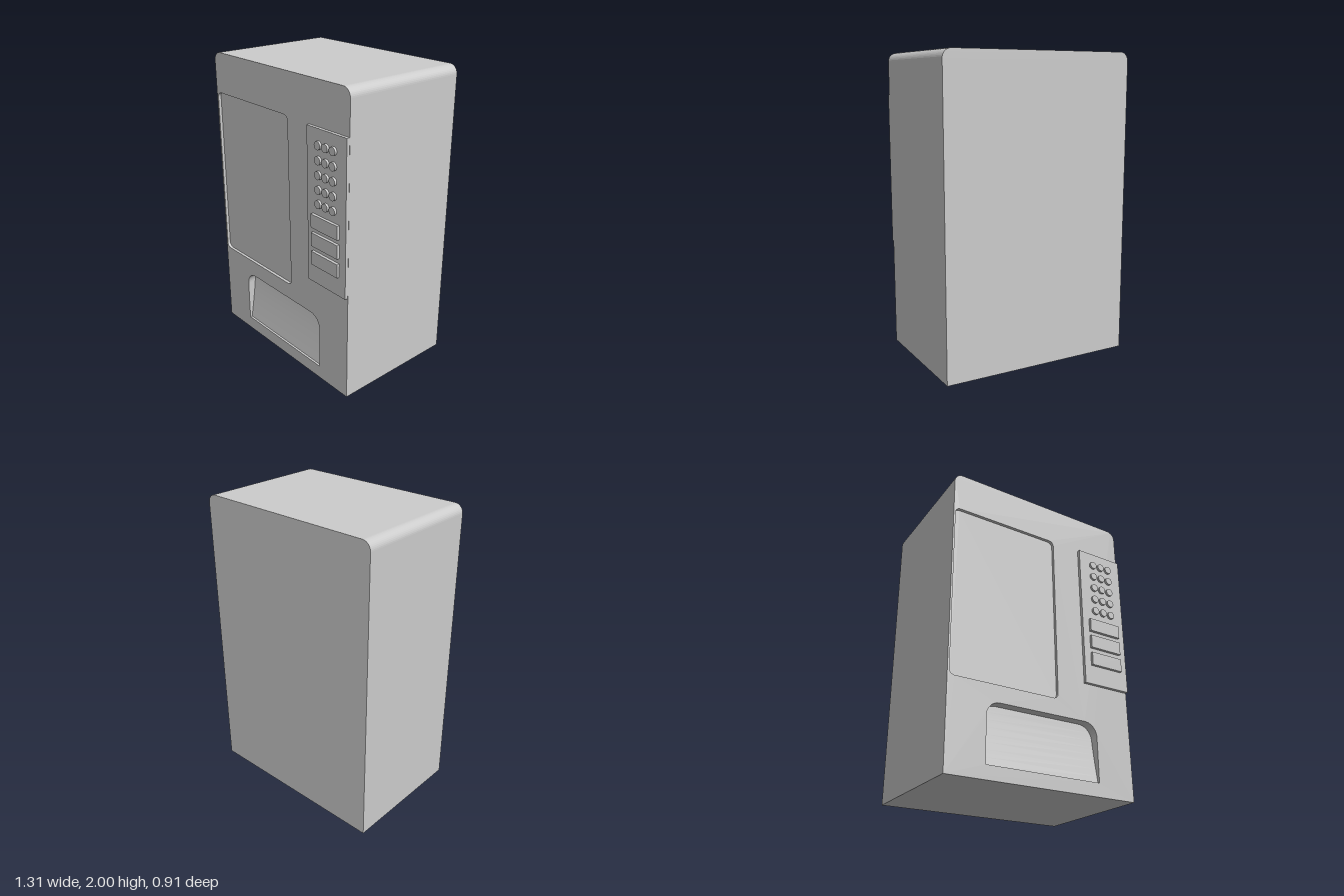
import * as THREE from 'three';

const grey = new THREE.MeshStandardMaterial({ color: 0xcccccc });
const greyDouble = new THREE.MeshStandardMaterial({ color: 0xcccccc, side: THREE.DoubleSide });

const FRONT = 0.415, BACK = -0.455, SLAB = 0.08;

// Rectangle with separate radii for the top and bottom corners
function outline(Type, x0, y0, x1, y1, top, bottom = 0) {
  const p = new Type();
  p.moveTo(x0 + bottom, y0);
  p.lineTo(x1 - bottom, y0);
  if (bottom) p.absarc(x1 - bottom, y0 + bottom, bottom, -Math.PI / 2, 0);
  p.lineTo(x1, y1 - top);
  p.absarc(x1 - top, y1 - top, top, 0, Math.PI / 2);
  p.lineTo(x0 + top, y1);
  p.absarc(x0 + top, y1 - top, top, Math.PI / 2, Math.PI);
  p.lineTo(x0, y0 + bottom);
  if (bottom) p.absarc(x0 + bottom, y0 + bottom, bottom, Math.PI, Math.PI * 1.5);
  return p;
}

function add(parent, name, geometry, x = 0, y = 0, z = 0, material = grey) {
  const mesh = new THREE.Mesh(geometry, material);
  mesh.name = name;
  mesh.position.set(x, y, z);
  parent.add(mesh);
  return mesh;
}

const extrude = (shape, depth) =>
  new THREE.ExtrudeGeometry(shape, { depth, bevelEnabled: false, curveSegments: 5 });

// Box given by its front rectangle and z range
function block(parent, name, x0, x1, y0, y1, z0, z1) {
  add(parent, name, new THREE.BoxGeometry(x1 - x0, y1 - y0, z1 - z0),
    (x0 + x1) / 2, (y0 + y1) / 2, (z0 + z1) / 2);
}

export function createModel() {
  const model = new THREE.Group();
  model.name = 'vendingMachine';

  // Cabinet behind the front plate
  const body = () => outline(THREE.Shape, -0.655, 0, 0.655, 2, 0.058);
  add(model, 'cabinet', extrude(body(), FRONT - SLAB - BACK), 0, 0, BACK);

  // Front plate with openings for the window and the tray
  const plate = body();
  plate.holes.push(
    outline(THREE.Path, -0.642, 0.577, 0.107, 1.732, 0.035, 0.035),
    outline(THREE.Path, -0.397, 0.088, 0.392, 0.466, 0.09));
  add(model, 'frontPlate', extrude(plate, SLAB), 0, 0, FRONT - SLAB);

  // Display window, set slightly back
  const pane = outline(THREE.Shape, -0.642, 0.577, 0.107, 1.732, 0.035, 0.035);
  add(model, 'displayWindow', new THREE.ShapeGeometry(pane, 5), 0, 0, FRONT - 0.02);

  // Collection flap, gently curved and deeper towards the top
  const flap = new THREE.PlaneGeometry(0.789, 0.378, 1, 8);
  const pos = flap.attributes.position;
  for (let i = 0; i < pos.count; i++) {
    const t = pos.getY(i) / 0.378 + 0.5;
    pos.setZ(i, -0.065 + 0.05 * Math.pow(1 - t, 1.3));
  }
  flap.computeVertexNormals();
  add(model, 'collectionFlap', flap, -0.0025, 0.277, FRONT, greyDouble);

  // Control panel
  const controls = new THREE.Group();
  controls.name = 'controls';
  model.add(controls);
  block(controls, 'controlPanel', 0.313, 0.654, 0.725, 1.727, FRONT - 0.01, 0.436);

  // Round keys, five rows of three
  const key = new THREE.CylinderGeometry(0.026, 0.026, 0.03, 20).rotateX(Math.PI / 2);
  for (let row = 0; row < 5; row++)
    for (let col = 0; col < 3; col++)
      add(controls, 'roundKey', key, 0.42 + col * 0.064, 1.63 - row * 0.0905, 0.436);

  // Rectangular payment plates
  for (const y of [0.855, 0.98, 1.103])
    block(controls, 'paymentPlate', 0.364, 0.6, y, y + 0.09, 0.42, 0.455);

  return model;
}
